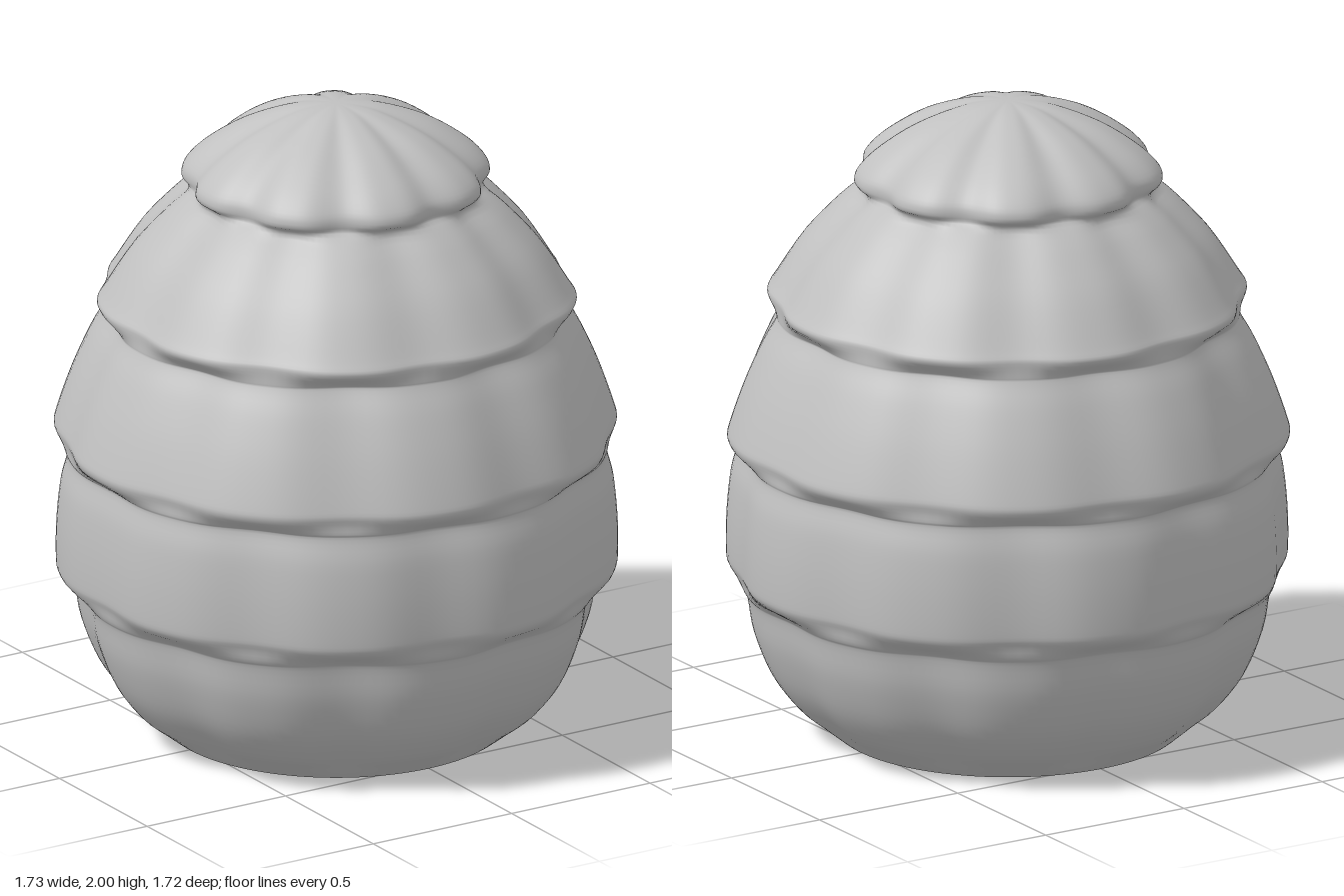
import * as THREE from 'three';
import { mergeVertices } from 'three/addons/utils/BufferGeometryUtils.js';

const LOBES = 9; // scales in each ring
const BASE_RADIUS = 0.53;

// Radius along the middle of a scale, bottom to top: [radius, height]
const PROFILE = [
  [BASE_RADIUS, 0], [0.588, 0.045], [0.655, 0.1], [0.73, 0.2], [0.782, 0.33], [0.802, 0.44], [0.815, 0.465],
  [0.854, 0.515], [0.862, 0.56], [0.86, 0.68], [0.848, 0.8], [0.828, 0.88],
  [0.836, 0.9], [0.862, 0.945], [0.855, 0.99], [0.81, 1.12], [0.757, 1.24], [0.715, 1.315],
  [0.714, 1.335], [0.736, 1.38], [0.715, 1.42], [0.63, 1.55], [0.53, 1.66], [0.461, 1.725],
  [0.474, 1.76], [0.462, 1.8], [0.40, 1.86], [0.29, 1.93], [0.16, 1.98], [0.07, 1.997], [0, 2],
];

// Height range of the step under each ring, from the second ring up
const STEPS = [[0.46, 0.515], [0.885, 0.94], [1.32, 1.38], [1.705, 1.76]];

// 1 along the middle of a scale, 0 in the crease between two; odd rings turn by half a scale
function lobe(angle, ring) {
  const phase = ring % 2 ? 0 : Math.PI;
  const s = Math.sin(LOBES * (angle - phase) / 2);
  return 1 - Math.pow(Math.abs(s), 3.5);
}

// Depth of the creases at height y
function creaseDepth(y, radius) {
  if (y > 1.73) return Math.min(0.035, radius * 0.13);
  const fade = THREE.MathUtils.smoothstep(y, 0, 0.1);
  return 0.026 * fade;
}

function scalyBody() {
  const curve = new THREE.SplineCurve(PROFILE.map(([r, y]) => new THREE.Vector2(r, y)));
  const points = curve.getPoints((PROFILE.length - 1) * 4);
  points[points.length - 1].set(0, 2);
  const geometry = new THREE.LatheGeometry(points, LOBES * 16);
  const pos = geometry.attributes.position;

  // Press the creases into the turned body
  for (let i = 0; i < pos.count; i++) {
    const x = pos.getX(i), y = pos.getY(i), z = pos.getZ(i);
    const radius = Math.hypot(x, z);
    if (radius < 1e-5) continue;
    const angle = Math.atan2(z, x);
    let amount = lobe(angle, 0);
    STEPS.forEach(([low, high], k) => {
      amount = THREE.MathUtils.lerp(amount, lobe(angle, k + 1), THREE.MathUtils.smoothstep(y, low, high));
    });
    const scale = 1 - creaseDepth(y, radius) * (1 - amount) / radius;
    pos.setX(i, x * scale);
    pos.setZ(i, z * scale);
  }

  // Weld the seam so that the shading is smooth all round
  geometry.deleteAttribute('uv');
  geometry.deleteAttribute('normal');
  const welded = mergeVertices(geometry, 1e-4);
  welded.computeVertexNormals();
  return welded;
}

export function createModel() {
  const group = new THREE.Group();
  group.name = 'scalyCone';
  const grey = new THREE.MeshStandardMaterial({ color: 0xc0c0c0 });
  grey.name = 'light grey';

  const body = new THREE.Mesh(scalyBody(), grey);
  body.name = 'scalyBody';

  // Flat foot
  const foot = new THREE.Mesh(new THREE.CircleGeometry(BASE_RADIUS, LOBES * 16), grey);
  foot.rotation.x = Math.PI / 2;
  foot.name = 'flatFoot';

  group.add(body, foot);
  return group;
}
